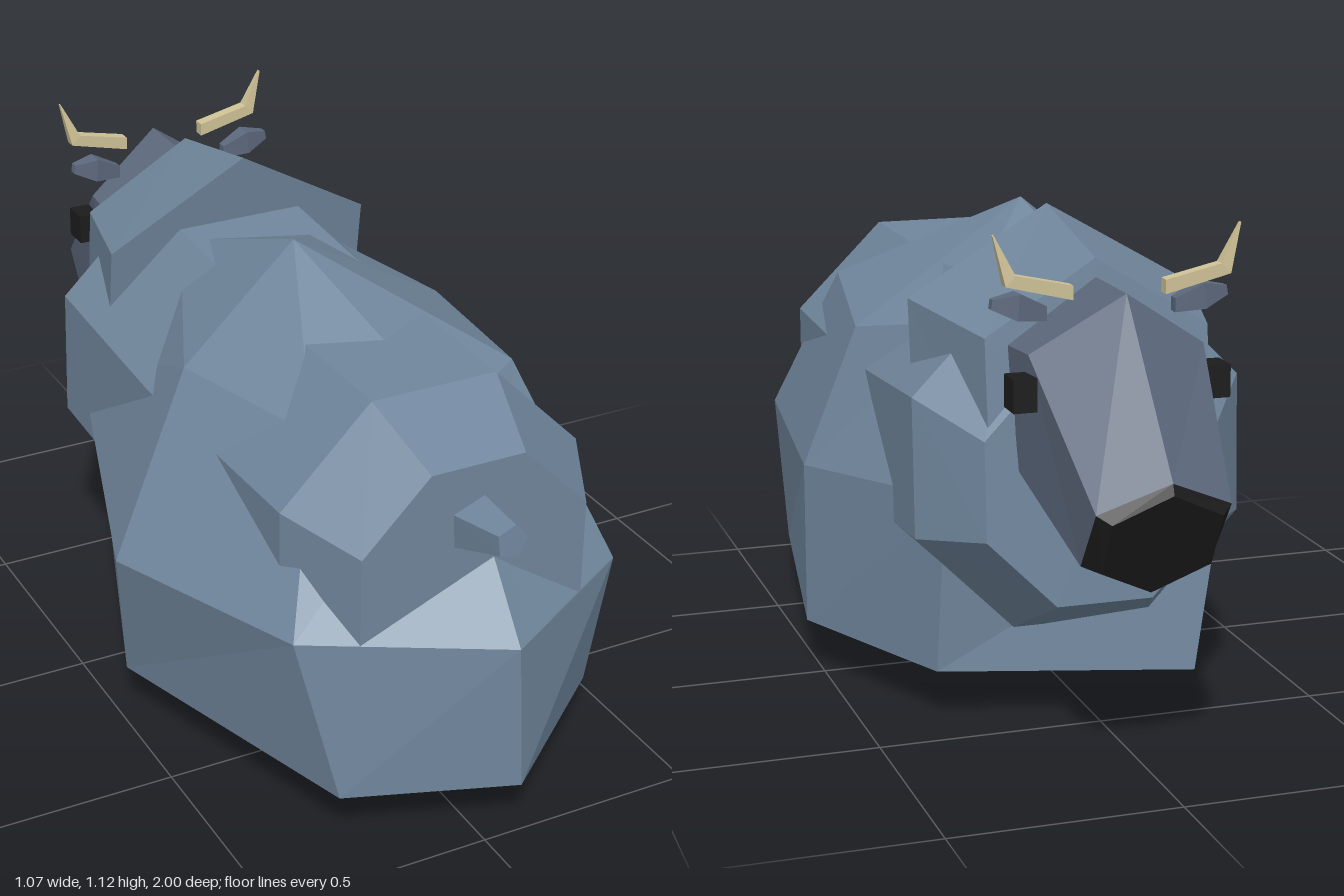
import * as THREE from 'three';

const CX = 0.03;
const mat = (color) => new THREE.MeshStandardMaterial({ color, flatShading: true });
const fur = mat(0x70869c), hide = mat(0x5c687c), black = mat(0x1c1c1c), bone = mat(0xcfc296);

// Skin a list of equal-length point loops with flat facets; both ends close to a point
function loft(name, rings, material, startTip, endTip) {
  const pos = [];
  const tri = (...pts) => pts.forEach((p) => pos.push(...p));
  const mean = (r) => [0, 1, 2].map((k) => r.reduce((s, p) => s + p[k], 0) / r.length);
  const n = rings[0].length, last = rings[rings.length - 1];
  const a = startTip || mean(rings[0]), b = endTip || mean(last);
  for (let i = 0; i < n; i++) {
    const j = (i + 1) % n;
    tri(a, rings[0][j], rings[0][i]);
    tri(b, last[i], last[j]);
    for (let k = 0; k < rings.length - 1; k++) {
      const p = rings[k], q = rings[k + 1];
      tri(p[i], p[j], q[j]);
      tri(p[i], q[j], q[i]);
    }
  }
  const g = new THREE.BufferGeometry();
  g.setAttribute('position', new THREE.Float32BufferAttribute(pos, 3));
  g.computeVertexNormals();
  const mesh = new THREE.Mesh(g, material);
  mesh.name = name;
  return mesh;
}

// Regular loop facing z; (uy, uz) is the offset of its highest point, rx its sideways radius
function ring(n, y, z, rx, uy, uz = 0, phase = 0) {
  return Array.from({ length: n }, (_, i) => {
    const a = ((i + phase) / n) * Math.PI * 2;
    return [CX + rx * Math.sin(a), y + uy * Math.cos(a), z + uz * Math.cos(a)];
  });
}

// Small sideways limb: each section is [topX, topY, bottomX, bottomY, halfDepth]
function sideLimb(name, sections, z, material) {
  const rings = sections.map(([tx, ty, bx, by, d]) => [
    [tx, ty, z - d], [tx, ty, z + d], [bx, by, z + d], [bx, by, z - d],
  ]);
  return loft(name, rings, material);
}

export function createModel() {
  const model = new THREE.Group();

  // Shaggy seven-sided hull of fur
  model.add(loft('furCoat', [
    [[0.085, 0.115, 1], [0.42, 0.115, 0.72], [0.53, 0.115, 0.04], [0.34, 0.115, -0.39],
      [-0.2, 0.115, -0.55], [-0.48, 0.115, 0.22], [-0.28, 0.115, 0.87]],
    [[0.065, 0.46, 1], [0.435, 0.46, 0.78], [0.527, 0.485, 0.05], [0.33, 0.52, -0.43],
      [-0.26, 0.5, -0.54], [-0.535, 0.46, 0.31], [-0.36, 0.485, 0.81]],
    [[0.09, 0.83, 0.66], [0.33, 0.84, 0.5], [0.4, 0.8, 0.05], [0.25, 0.86, -0.25],
      [-0.1, 0.9, -0.28], [-0.315, 0.83, 0.2], [-0.2, 0.82, 0.58]],
  ], fur, [CX, 0, 0.2], [-0.03, 1.06, 0.16]));

  // Octagonal trunk: bevelled rump at +z, chest at -z
  const oct = (y, z, r, tilt = 0) => ring(8, y, z, r, r, tilt, 0.5);
  model.add(loft('trunk', [
    oct(0.57, 0.865, 0.287),
    oct(0.57, 0.68, 0.385),
    oct(0.56, 0.05, 0.4),
    oct(0.59, -0.43, 0.4, 0.02),
    oct(0.57, -0.59, 0.28, 0.02),
  ], fur));

  // Hexagonal ruff around the neck
  model.add(loft('neckRuff', [
    ring(6, 0.73, -0.26, 0.375, 0.375, 0.05),
    ring(6, 0.735, -0.565, 0.285, 0.305, 0.035),
  ], fur));

  // Head with a drooping snout
  model.add(loft('head', [
    ring(6, 0.74, -0.5, 0.23, 0.26, -0.03),
    ring(6, 0.75, -0.61, 0.22, 0.25, -0.11),
    ring(6, 0.545, -0.9, 0.165, 0.13, -0.09),
  ], hide));
  model.add(loft('muzzle', [
    ring(6, 0.545, -0.9, 0.165, 0.13, -0.09),
    ring(6, 0.535, -0.938, 0.135, 0.117, -0.06),
  ], black));

  // Stubby five-sided tail
  model.add(loft('tail', [
    ring(5, 0.725, 1, 0.037, 0.037, -0.004, 0.2),
    ring(5, 0.695, 0.86, 0.067, 0.067, 0, 0.2),
  ], fur));

  // Mirrored face parts
  for (const side of [1, -1]) {
    const half = new THREE.Group();
    half.name = side > 0 ? 'leftFaceParts' : 'rightFaceParts';
    half.position.x = CX;
    half.scale.x = side;
    half.add(sideLimb('horn', [
      [0.1, 1.015, 0.1, 0.985, 0.014],
      [0.222, 1.042, 0.243, 1.02, 0.014],
      [0.265, 1.125, 0.267, 1.123, 0.004],
    ], -0.667, bone));
    half.add(sideLimb('ear', [
      [0.14, 0.965, 0.14, 0.935, 0.012],
      [0.2, 0.995, 0.205, 0.94, 0.022],
      [0.255, 0.985, 0.258, 0.965, 0.01],
    ], -0.62, hide));
    const eye = new THREE.Mesh(new THREE.BoxGeometry(0.05, 0.07, 0.065), black);
    eye.name = 'eye';
    eye.position.set(0.21, 0.8, -0.675);
    half.add(eye);
    model.add(half);
  }
  return model;
}
